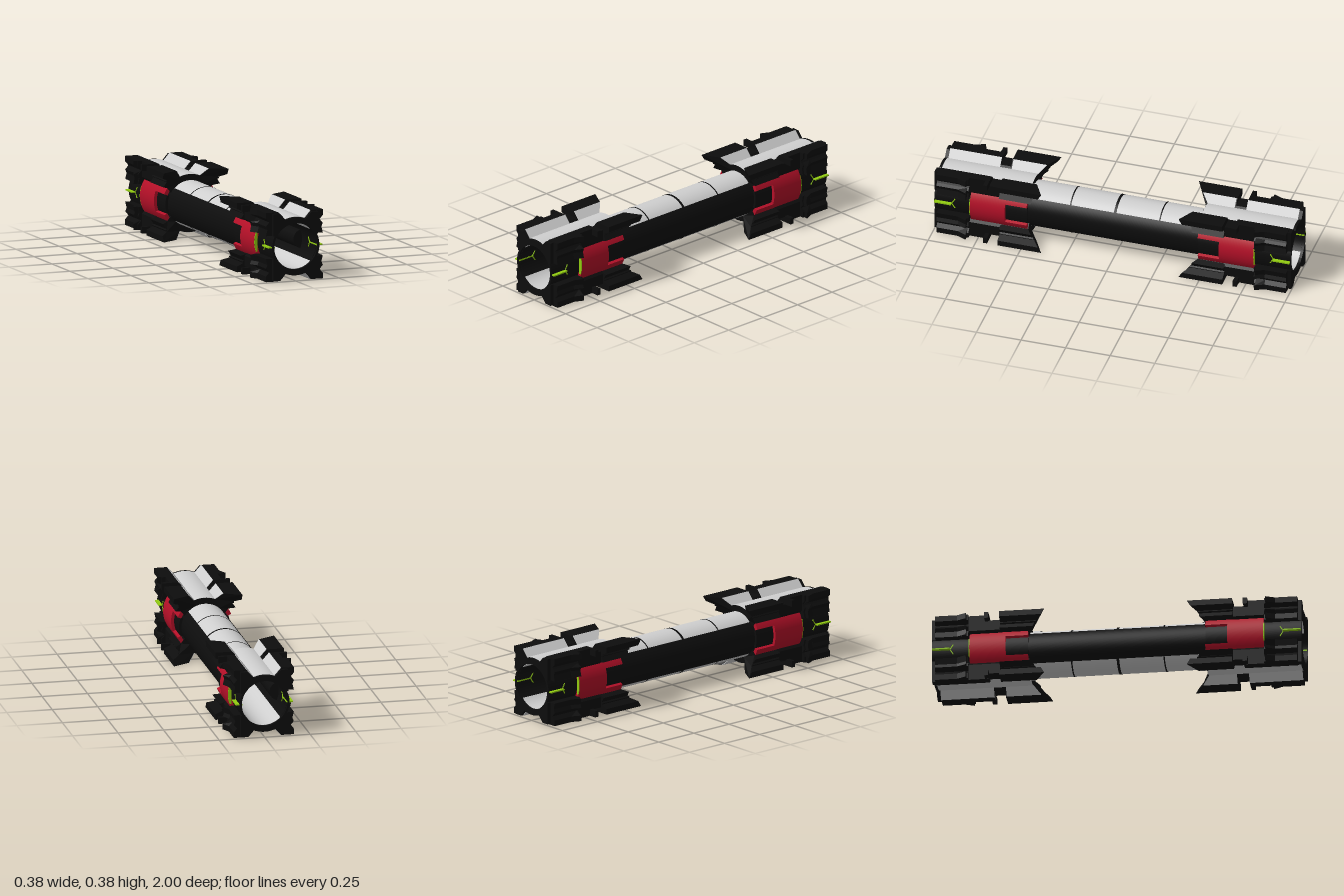
import * as THREE from 'three';

const mat = (name, color) => new THREE.MeshStandardMaterial({ name, color });

export function createModel() {
  const black = mat('black', 0x0d0d0d);
  const grey = mat('light grey', 0xcfcfcf);
  const red = mat('red', 0xb51028);
  const green = mat('green', 0x92cc10);

  const model = new THREE.Group();
  model.name = 'doubleEndedTube';
  model.position.y = 0.188;

  // Extrude a shape along z from z0 to z1
  function extrude(parent, name, shape, z0, z1, material) {
    const g = new THREE.ExtrudeGeometry(shape, { depth: z1 - z0, bevelEnabled: false, curveSegments: 20 });
    g.translate(0, 0, z0);
    const m = new THREE.Mesh(g, material);
    m.name = name;
    parent.add(m);
    return m;
  }

  // Ring sector centred on an angle, in degrees
  function sector(r0, r1, mid, half) {
    const a = THREE.MathUtils.degToRad(mid - half);
    const b = THREE.MathUtils.degToRad(mid + half);
    const s = new THREE.Shape();
    s.absarc(0, 0, r1, a, b, false);
    s.absarc(0, 0, r0, b, a, true);
    s.closePath();
    return s;
  }

  // Polygon mirrored into a quadrant
  const poly = (pts, sx, sy) => new THREE.Shape(pts.map(([x, y]) => new THREE.Vector2(x * sx, y * sy)));

  function box(parent, name, size, pos, material, tilt = 0) {
    const m = new THREE.Mesh(new THREE.BoxGeometry(...size), material);
    m.name = name;
    m.position.set(...pos);
    m.rotation.x = tilt;
    parent.add(m);
  }

  // Central tube: grey above and below, black at the sides
  for (const side of [90, 270]) extrude(model, 'tubePanel', sector(0.1235, 0.125, side, 46), -0.985, 0.985, grey);
  for (const side of [0, 180]) extrude(model, 'tubeSide', sector(0.1235, 0.1265, side, 44), -0.985, 0.985, black);
  for (const [z, w] of [[0, 0.014], [0.25, 0.007], [-0.25, 0.007]])
    for (const side of [90, 270]) extrude(model, 'tubeSeam', sector(0.1235, 0.1258, side, 46), z - w / 2, z + w / 2, black);

  // Inner edge of the fin blocks, following the tube
  const inner = [30, 40, 50, 60, 70].map((d) => {
    const a = THREE.MathUtils.degToRad(d);
    return [0.125 * Math.cos(a), 0.125 * Math.sin(a)];
  });
  const slope = [[0.059, 0.147], [0.095, 0.188]];
  const rearProfile = (x) => [...slope, [x, 0.188], [x, 0.157], [0.147, 0.137], [0.153, 0.128],
    [x, 0.115], [x - 0.008, 0.095], [x, 0.062], ...inner];
  const wingProfile = [...slope, [0.188, 0.188], [0.188, 0.157], [0.15, 0.14], [0.155, 0.133],
    [0.147, 0.127], [0.165, 0.1], [0.13, 0.09], ...inner];
  const highProfile = [...slope, [0.143, 0.188], [0.143, 0.1], ...inner];
  const lowProfile = [[0.059, 0.147], [0.068, 0.157], [0.143, 0.157], [0.143, 0.1], ...inner];
  const rimProfile = [[0.059, 0.147], [0.09, 0.182], [0.13, 0.182], [0.13, 0.062], ...inner];
  const slopePlate = [[0.059, 0.147], [0.095, 0.188], [0.093, 0.189], [0.056, 0.148]];

  // Slant the inward ends of the wings
  function sweep(mesh, z0) {
    const p = mesh.geometry.attributes.position;
    for (let i = 0; i < p.count; i++) {
      if (Math.abs(p.getZ(i) - z0) > 0.001) continue;
      const x = Math.abs(p.getX(i)), y = Math.abs(p.getY(i));
      p.setZ(i, Math.min(0.475, 0.434 - 0.55 * (x - 0.1) - 0.6 * (y - 0.188)));
    }
    mesh.geometry.computeVertexNormals();
  }

  function makeEnd() {
    const end = new THREE.Group();
    end.name = 'endSection';

    // Collar above and below the tube with grey skins
    for (const side of [90, 270]) {
      extrude(end, 'collar', sector(0.125, 0.158, side, 23), 0.475, 1, black);
      extrude(end, 'collarSkin', sector(0.157, 0.159, side, 22.5), 0.476, 0.985, grey);
    }

    for (const sx of [1, -1]) {
      for (const sy of [1, -1]) {
        // Rear block with flared front lip
        extrude(end, 'rearBlock', poly(rearProfile(0.165), sx, sy), 0.8, 0.98, black);
        const flare = extrude(end, 'rearFlare', poly(rearProfile(0.188), sx, sy), 0.81, 0.86, black);
        const p = flare.geometry.attributes.position;
        for (let i = 0; i < p.count; i++)
          if (p.getZ(i) > 0.85 && Math.abs(p.getX(i)) > 0.16) p.setX(i, p.getX(i) - 0.023 * sx);
        flare.geometry.computeVertexNormals();
        extrude(end, 'endRim', poly(rimProfile, sx, sy), 0.98, 1, black);

        // Bridge, post and swept wing
        extrude(end, 'highBridge', poly(highProfile, sx, sy), 0.69, 0.8, black);
        extrude(end, 'lowBridge', poly(lowProfile, sx, sy), 0.625, 0.69, black);
        box(end, 'post', [0.06, 0.035, 0.022], [sx * 0.158, sy * 0.17, 0.7], black);
        sweep(extrude(end, 'wing', poly(wingProfile, sx, sy), 0.4, 0.63, black), 0.4);

        // Grey inner faces of the fins
        extrude(end, 'rearFinFace', poly(slopePlate, sx, sy), 0.69, 0.98, grey);
        sweep(extrude(end, 'wingFace', poly(slopePlate, sx, sy), 0.4, 0.625, grey), 0.4);
      }

      const mid = sx > 0 ? 0 : 180;
      // Red side panel with a notch
      extrude(end, 'sidePanel', sector(0.136, 0.157, mid, 38), 0.6, 0.795, red);
      for (const d of [1, -1])
        extrude(end, 'sidePanelArm', sector(0.136, 0.157, mid + d * 29.5, 8.5), 0.48, 0.6, red);
      extrude(end, 'notchFiller', sector(0.125, 0.14, mid, 22), 0.48, 0.6, black);
      extrude(end, 'endWall', sector(0.125, 0.137, mid, 31), 0.79, 1, black);

      // Half-round housing inside the tube
      const half = new THREE.Shape();
      half.absarc(sx * 0.125, 0, 0.051, Math.PI / 2, Math.PI * 1.5, sx < 0);
      half.closePath();
      extrude(end, 'innerHousing', half, 0.5, 0.79, black);

      // Green lamp on the panel end
      const lamp = [[0.138, -0.052], [0.148, -0.052], [0.154, -0.03], [0.157, 0], [0.154, 0.03], [0.148, 0.052], [0.138, 0.052]];
      extrude(end, 'lamp', poly(lamp, sx, 1), 0.795, 0.799, green);

      // Green forked light line
      box(end, 'lightLine', [0.036, 0.007, 0.095], [sx * 0.139, 0, 0.949], green);
      for (const d of [1, -1])
        box(end, 'lightFork', [0.02, 0.005, 0.034], [sx * 0.129, d * 0.014, 0.893], green, d * 1.0);
    }
    return end;
  }

  // The two ends are half-turn copies
  const front = makeEnd();
  const back = makeEnd();
  back.rotation.y = Math.PI;
  model.add(front, back);

  const root = new THREE.Group();
  root.name = 'model';
  root.add(model);
  return root;
}
